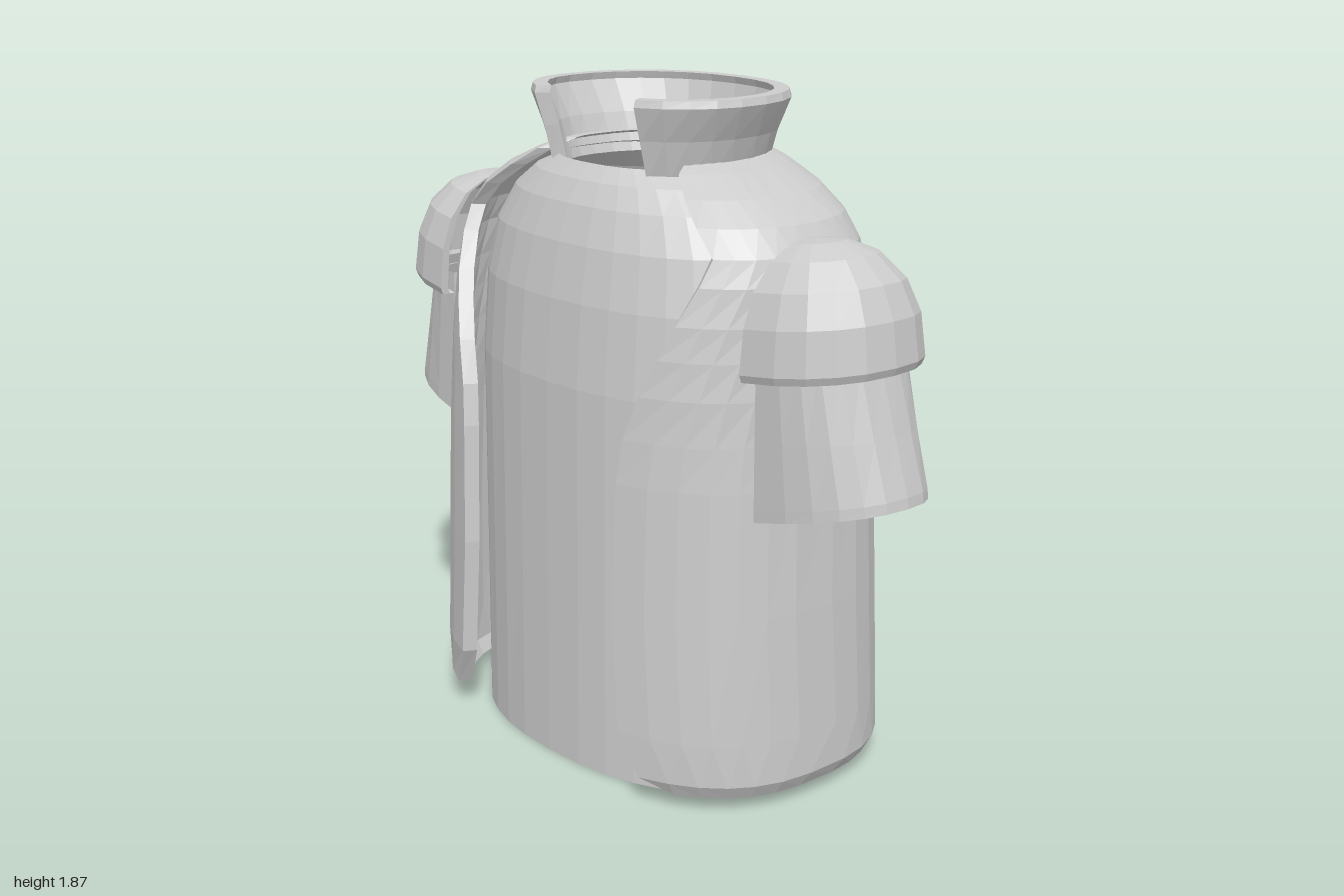
import * as THREE from 'three';

const cloth = new THREE.MeshStandardMaterial({ color: 0xcccccc, flatShading: true, side: THREE.DoubleSide });
cloth.name = 'light grey cloth';

// Skin a stack of equal cross-sections: wrap closes each one,
// capped joins its outer and inner halves at both ends
function loft(name, loops, wrap, capped) {
  const n = loops[0].length, pos = loops.flat(2), idx = [];
  const quad = (a, b, c, d) => idx.push(a, b, c, a, c, d);
  for (let j = 0; j < loops.length - 1; j++)
    for (let i = 0; i < (wrap ? n : n - 1); i++) {
      const k = (i + 1) % n;
      quad(j * n + i, j * n + k, (j + 1) * n + k, (j + 1) * n + i);
    }
  if (capped) {
    const top = (loops.length - 1) * n;
    for (let i = 0; i < n / 2 - 1; i++) {
      quad(n - 1 - i, n - 2 - i, i + 1, i);
      quad(top + i, top + i + 1, top + n - 2 - i, top + n - 1 - i);
    }
  }
  const g = new THREE.BufferGeometry();
  g.setAttribute('position', new THREE.Float32BufferAttribute(pos, 3));
  g.setIndex(idx);
  g.computeVertexNormals();
  const mesh = new THREE.Mesh(g, cloth);
  mesh.name = name;
  return mesh;
}

// Signed power, used to square off round sections
const power = (v, e) => Math.sign(v) * Math.pow(Math.abs(v), e);

// Rounded-oval point: angle 0 faces the front, quarter turn faces +x
function oval(t, a, zf, zb, n) {
  const c = Math.cos(t), zc = 0.02;
  return [a * power(Math.sin(t), 2 / n), zc + (c > 0 ? zf - zc : zc - zb) * power(c, 2 / n)];
}

// Thick oval wall with a gap at the front; rows are [y, halfWidth, zFront, zBack, gapHalfWidth]
function openWall(name, rows, segs, n, thick) {
  const loops = rows.map(([y, a, zf, zb, gap]) => {
    const outer = [], inner = [];
    const t0 = Math.asin(Math.pow(Math.min(gap / a, 0.98), n / 2));
    for (let i = 0; i <= segs; i++) {
      const t = t0 + (2 * Math.PI - 2 * t0) * i / segs;
      const [ox, oz] = oval(t, a, zf, zb, n);
      const [ix, iz] = oval(t, a - thick, zf - thick, zb + thick, n);
      outer.push([ox, y, oz]);
      inner.unshift([ix, y, iz]);
    }
    return [...outer, ...inner];
  });
  return loft(name, loops, true, true);
}

// Half-round sheet bulging toward +x, with its two side edges turned inward;
// rows are [reach in x, half depth in z, height function of x]
function halfSheet(name, rows, segs, x0, z0, turn) {
  const loops = rows.map(([reach, depth, height]) => {
    const pts = [];
    for (let i = 0; i <= segs; i++) {
      const t = Math.PI * i / segs;
      const x = x0 + reach * power(Math.sin(t), 0.84);
      pts.push([x, height(x), z0 + depth * power(Math.cos(t), 0.84)]);
    }
    const edge = (s) => [x0, height(x0), z0 + s * depth * (1 - turn)];
    return [edge(1), ...pts, edge(-1)];
  });
  return loft(name, loops, false, false);
}

export function createModel() {
  const model = new THREE.Group();
  model.name = 'jacketAndShirt';

  // Inner shirt: open tube narrowing to the neck hole
  const shirtRows = [
    [0, 0.575, 0.42, -0.365, 2.3], [0.55, 0.575, 0.415, -0.375, 2.3], [1.1, 0.575, 0.41, -0.375, 2.3],
    [1.33, 0.565, 0.39, -0.36, 2.3], [1.48, 0.53, 0.36, -0.33, 2.3], [1.58, 0.46, 0.325, -0.29, 2.3],
    [1.64, 0.37, 0.29, -0.25, 2.4], [1.68, 0.26, 0.25, -0.2, 2.6],
  ];
  model.add(loft('innerShirt', shirtRows.map(([y, a, zf, zb, n]) =>
    Array.from({ length: 36 }, (_, i) => {
      const [x, z] = oval(2 * Math.PI * i / 36, a, zf, zb, n);
      return [x, y, z];
    })), true, false));

  // Jacket body, open down the front
  model.add(openWall('jacketBody', [
    [0.04, 0.685, 0.478, -0.445, 0.5], [0.08, 0.707, 0.495, -0.465, 0.42], [0.2, 0.705, 0.5, -0.462, 0.36],
    [0.55, 0.692, 0.492, -0.452, 0.335], [0.9, 0.677, 0.482, -0.442, 0.34], [1.02, 0.671, 0.475, -0.437, 0.355],
    [1.14, 0.667, 0.467, -0.432, 0.395], [1.24, 0.663, 0.455, -0.424, 0.435], [1.33, 0.66, 0.44, -0.412, 0.47],
    [1.43, 0.655, 0.41, -0.392, 0.508], [1.5, 0.635, 0.385, -0.375, 0.52], [1.57, 0.585, 0.35, -0.35, 0.45],
    [1.63, 0.5, 0.3, -0.325, 0.37], [1.68, 0.38, 0.26, -0.295, 0.3], [1.71, 0.29, 0.23, -0.26, 0.265],
  ], 32, 2.55, 0.04));

  // Flared stand-up collar
  model.add(openWall('collar', [
    [1.65, 0.305, 0.27, -0.28, 0.2], [1.76, 0.34, 0.29, -0.302, 0.203],
    [1.85, 0.385, 0.31, -0.325, 0.21], [1.87, 0.378, 0.306, -0.318, 0.21],
  ], 22, 2.2, 0.04));

  for (const side of [1, -1]) {
    const arm = new THREE.Group();
    arm.name = side > 0 ? 'leftSleeve' : 'rightSleeve';
    arm.scale.x = side;

    // Short flared sleeve with a slanted hem
    const hem = (x) => 0.91 - (1 - x) * 0.235;
    const sleeveRows = [0, 0.08, 0.5, 1].map((v) => [
      (v === 0 ? 0.34 : 0.345) - 0.115 * v, 0.21, (x) => hem(x) + (1.27 - hem(x)) * v,
    ]);
    arm.add(halfSheet('sleeve', sleeveRows, 12, 0.655, 0.04, 0.2));

    // Domed shoulder cap: rim turned in under a full, rounded crown
    const rim = (x) => 1.21 + (x - 0.65) * 0.12;
    const capRows = [[0.8, 0], [0.97, 0], [1, 0.06]];
    for (const a of [0.22, 0.42, 0.64, 0.84, 0.97])
      capRows.push([power(Math.cos(a * Math.PI / 2), 0.84), power(Math.sin(a * Math.PI / 2), 0.84)]);
    arm.add(halfSheet('shoulderCap', capRows.map(([k, h]) =>
      [0.3 * k, 0.25 * k, (x) => rim(x) + 0.34 * h]), 10, 0.65, 0.052, 0.1));
    // Small closing piece at the top of the crown
    arm.add(halfSheet('shoulderCapTop', [0.97, 1].map((a) => {
      const k = power(Math.max(0, Math.cos(a * Math.PI / 2)), 0.84);
      return [0.3 * k, 0.25 * k, (x) => rim(x) + 0.34 * power(Math.sin(a * Math.PI / 2), 0.84)];
    }), 10, 0.65, 0.052, 0.1));
    model.add(arm);
  }
  return model;
}
